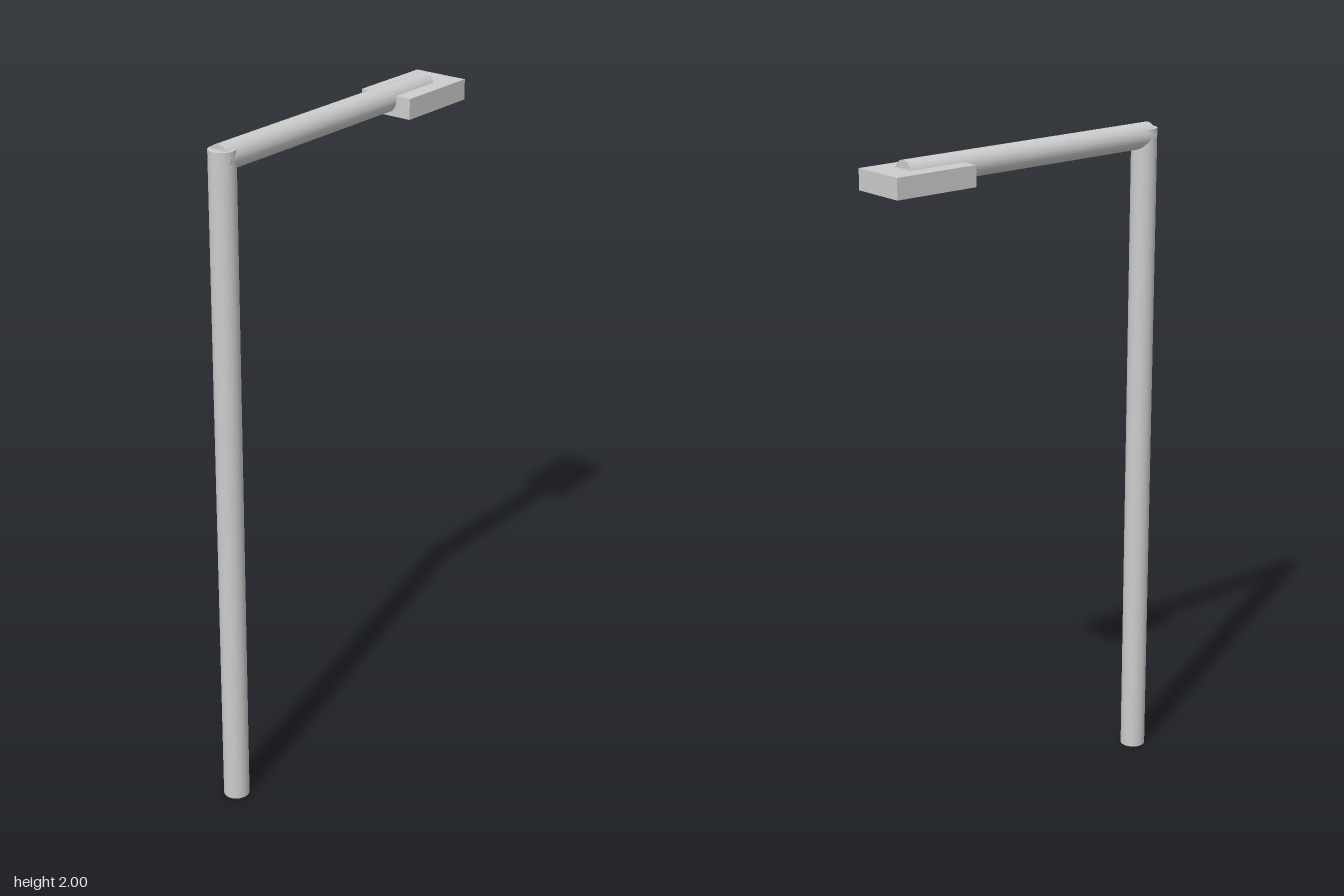
import * as THREE from 'three';

export function createModel() {
  const model = new THREE.Group();
  const grey = new THREE.MeshStandardMaterial({ color: 0xcccccc });
  grey.name = 'light grey';
  const radius = 0.038;

  const add = (name, geometry, x, y) => {
    const mesh = new THREE.Mesh(geometry, grey);
    mesh.name = name;
    mesh.position.set(x, y, 0);
    model.add(mesh);
    return mesh;
  };
  const tube = (length) => new THREE.CylinderGeometry(radius, radius, length, 32);

  // Upright pole
  add('pole', tube(1.985), -0.462, 0.9925);

  // Horizontal arm, overlapping the pole top
  add('arm', tube(0.89), -0.03, 1.962).rotation.z = Math.PI / 2;

  // Flat lamp head around the end of the arm
  add('lampHead', new THREE.BoxGeometry(0.265, 0.06, 0.17), 0.3675, 1.946);

  return model;
}
